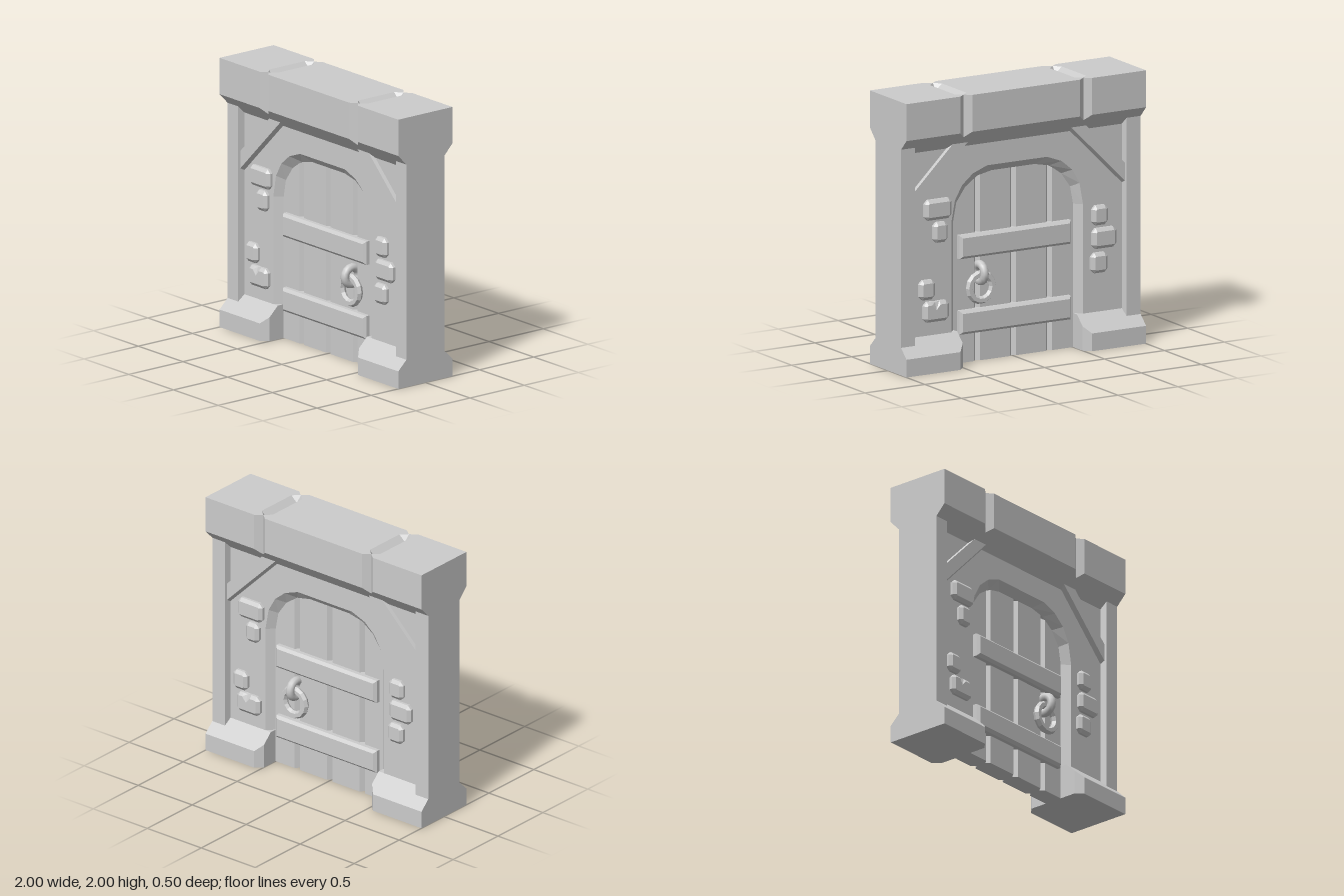
import * as THREE from 'three';

const material = new THREE.MeshStandardMaterial({ color: 0xcccccc, flatShading: true });
const smooth = new THREE.MeshStandardMaterial({ color: 0xcccccc });

// How ring coordinates (u, v) and the distance w along the axis become x, y, z
const AXES = {
  x: (u, v, w) => [w, u, v],
  y: (u, v, w) => [v, w, u],
  z: (u, v, w) => [u, v, w],
};

// Closed solid through rings of equal point count: [{ w, pts: [[u, v], ...] }], w rising
function loft(name, axis, rings) {
  const map = AXES[axis];
  const flat = rings.map(r => r.pts.map(p => new THREE.Vector2(p[0], p[1])));
  if (THREE.ShapeUtils.area(flat[0]) < 0) flat.forEach(r => r.reverse());
  const pos = [];
  const put = (i, j) => pos.push(...map(flat[i][j].x, flat[i][j].y, rings[i].w));
  const n = flat[0].length, last = rings.length - 1;
  for (let i = 0; i < last; i++) {
    for (let j = 0; j < n; j++) {
      const k = (j + 1) % n;
      put(i, j); put(i, k); put(i + 1, k);
      put(i, j); put(i + 1, k); put(i + 1, j);
    }
  }
  for (const [a, b, c] of THREE.ShapeUtils.triangulateShape(flat[0], [])) { put(0, c); put(0, b); put(0, a); }
  for (const [a, b, c] of THREE.ShapeUtils.triangulateShape(flat[last], [])) { put(last, a); put(last, b); put(last, c); }
  const geo = new THREE.BufferGeometry();
  geo.setAttribute('position', new THREE.Float32BufferAttribute(pos, 3));
  geo.computeVertexNormals();
  const mesh = new THREE.Mesh(geo, material);
  mesh.name = name;
  return mesh;
}

const mirrorX = half => [...half, ...half.map(([x, y]) => [-x, y]).reverse()];

// Wall with a chamfered arched opening on both faces
function wall() {
  const outer = [[0.55, 0], [0.55, 1.05], [0.52, 1.21], [0.46, 1.315], [0.37, 1.39], [0.25, 1.435]];
  const inner = [[0.5, 0], [0.5, 1.05], [0.475, 1.18], [0.4, 1.285], [0.3, 1.355], [0.18, 1.38]];
  const outline = arch => mirrorX([[0.95, 1.65], [0.95, 0], ...arch]);
  return loft('wall', 'z', [
    { w: -0.125, pts: outline(outer) }, { w: -0.07, pts: outline(inner) },
    { w: 0.07, pts: outline(inner) }, { w: 0.125, pts: outline(outer) },
  ]);
}

// Plank door with V grooves between the boards
function door() {
  const front = [[0.07, -0.52]];
  for (const x of [-0.3, 0, 0.3]) front.push([0.07, x - 0.025], [0.04, x], [0.07, x + 0.025]);
  front.push([0.07, 0.52]);
  const pts = [...front, ...front.map(([z, x]) => [-z, x]).reverse()];
  return loft('plankDoor', 'y', [{ w: 0, pts }, { w: 1.41, pts }]);
}

// Top beam: sloped underside, V notches on the faces and pointed grooves on top
function lintel() {
  const ring = (w, cut) => {
    const f = cut ? 0.21 : 0.25, b = cut ? 0.21 : 0.165;
    const half = [[1.6, 0.125], [1.6 + (f - 0.125) * 1.04, f], [2, f], [2, b], [cut ? 1.955 : 2, 0.165]];
    return { w, pts: [...half, ...half.map(([y, z]) => [y, -z]).reverse()] };
  };
  return loft('lintel', 'x', [
    ring(-1), ring(-0.55), ring(-0.5, true), ring(-0.45),
    ring(0.45), ring(0.55 - 0.05, true), ring(0.55), ring(1),
  ]);
}

// Footing with sloped top and chamfered inner corners
function footing() {
  const ring = (w, f) => {
    const half = [[0, f], [0.25 - (f - 0.125) * 0.96, f], [0.25, 0.125]];
    return { w, pts: [...half, ...half.map(([y, z]) => [y, -z]).reverse()] };
  };
  return loft('footing', 'x', [ring(0.5, 0.2), ring(0.55, 0.25), ring(1, 0.25)]);
}

// Side post, slightly flared where it meets the wall
function post() {
  const pts = [[-0.175, 1], [0.175, 1], [0.175, 0.883], [0.125, 0.873], [-0.125, 0.873], [-0.175, 0.883]];
  return loft('sidePost', 'y', [{ w: 0.1, pts }, { w: 1.7, pts }]);
}

// Diagonal brace between post and lintel
function brace(s) {
  const outline = d => [[0.9, 1.3], [0.9, 1.155 + d], [0.4 + d, 1.65], [0.54, 1.65]].map(([x, y]) => [s * x, y]);
  return loft('cornerBrace', 'z', [{ w: 0.11, pts: outline(-0.01) }, { w: 0.125, pts: outline(-0.01) }, { w: 0.157, pts: outline(0.015) }]);
}

// Bevelled strap across the planks
function strap(y) {
  const rect = d => [[-0.468 + d, y - 0.087 + d], [0.462 - d, y - 0.087 + d], [0.462 - d, y + 0.087 - d], [-0.468 + d, y + 0.087 - d]];
  return loft('doorStrap', 'z', [{ w: 0.03, pts: rect(0) }, { w: 0.1, pts: rect(0) }, { w: 0.12, pts: rect(0.02) }]);
}

// Bevelled wall stone, optionally chipped at its top edge
function stone([x, y, w, h, chipped]) {
  const ring = (z, inset, corner, dip) => {
    const a = w / 2 - inset, b = h / 2 - inset, c = corner;
    const top = chipped ? [[0.025, b], [-0.01, b - dip], [-0.045, b]] : [];
    const pts = [[-a + c, -b], [a - c, -b], [a, -b + c], [a, b - c], [a - c, b], ...top, [-a + c, b], [-a, b - c], [-a, -b + c]];
    return { w: z, pts: pts.map(([u, v]) => [x + u, y + v]) };
  };
  return loft('wallStone', 'z', [
    ring(0.11, 0, 0.028, 0), ring(0.145, 0, 0.028, 0.005), ring(0.165, 0.024, 0.006, 0.04),
  ]);
}

// Pull ring hanging from a loop
function handle(x) {
  const group = new THREE.Group();
  group.name = 'doorHandle';
  const loop = new THREE.Mesh(new THREE.TorusGeometry(0.062, 0.031, 10, 16), smooth);
  loop.name = 'handleLoop';
  loop.rotation.y = Math.PI / 2;
  loop.position.set(x, 0.65, 0.098);
  const ring = new THREE.Mesh(new THREE.TorusGeometry(0.097, 0.028, 6, 14), material);
  ring.name = 'handleRing';
  ring.position.set(x, 0.547, 0.108);
  group.add(loop, ring);
  return group;
}

const STONES = [
  [-0.672, 1.17, 0.225, 0.15], [-0.652, 1, 0.12, 0.15],
  [-0.764, 0.59, 0.13, 0.145], [-0.688, 0.425, 0.21, 0.15, true],
  [0.68, 0.96, 0.13, 0.145], [0.716, 0.79, 0.2, 0.15], [0.674, 0.612, 0.138, 0.148],
];

// Details applied to one face of the wall
function faceDetails(name, handleX) {
  const group = new THREE.Group();
  group.name = name;
  group.add(brace(1), brace(-1), strap(0.855), strap(0.302), handle(handleX));
  STONES.forEach(s => group.add(stone(s)));
  return group;
}

export function createModel() {
  const model = new THREE.Group();
  model.name = 'archedDoorway';
  model.add(wall(), door(), lintel());

  // Left and right supports
  for (const turn of [0, Math.PI]) {
    const side = new THREE.Group();
    side.name = turn ? 'rightSupport' : 'leftSupport';
    side.add(post(), footing());
    side.rotation.y = turn;
    model.add(side);
  }

  // Front and back details, with the handles on the same edge of the door
  const back = faceDetails('backDetails', -0.293);
  back.rotation.y = Math.PI;
  model.add(faceDetails('frontDetails', 0.293), back);
  return model;
}
